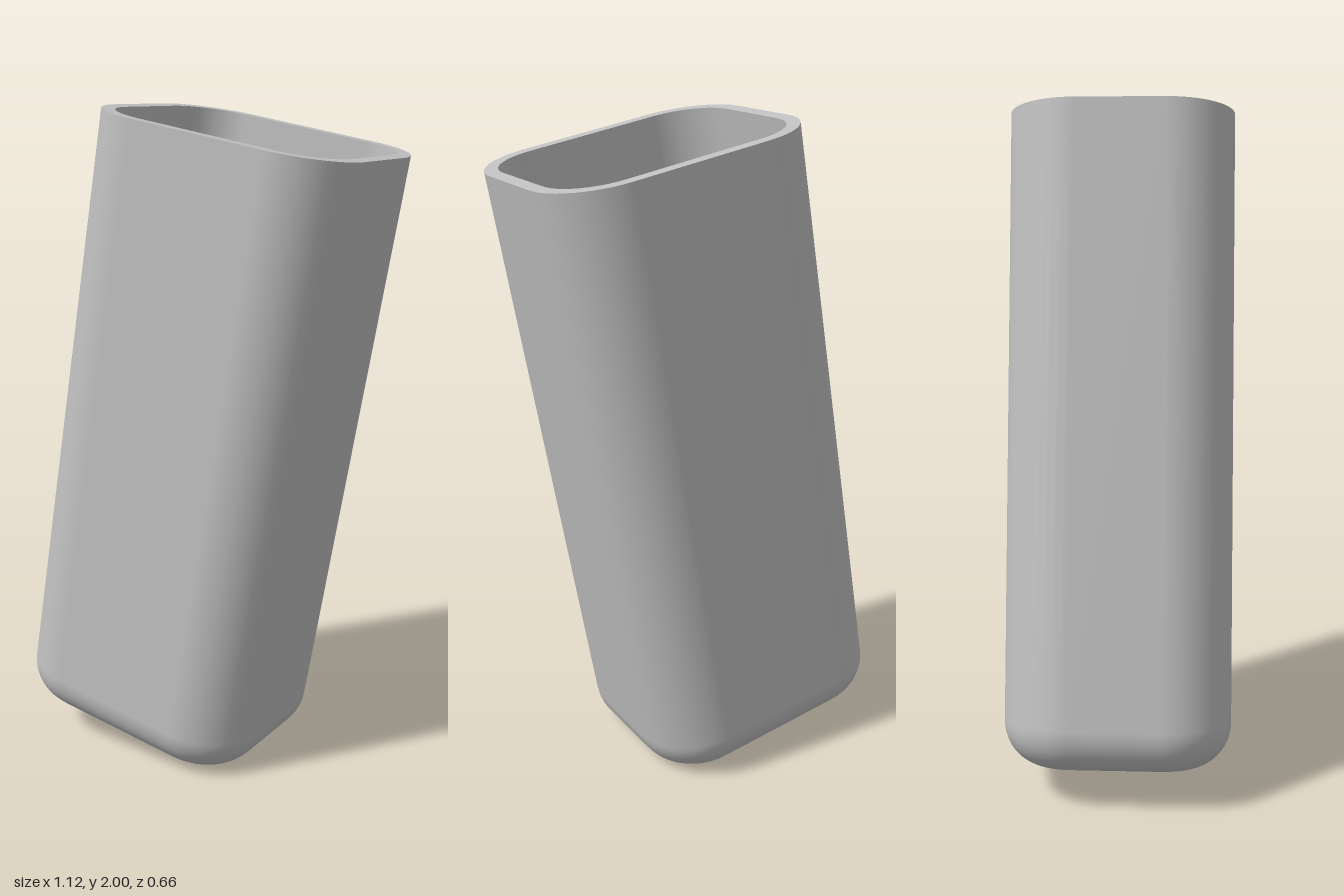
import * as THREE from 'three';

const HEIGHT = 1.907, WALL = 0.04;
const CX = 0.211, CZ = 0.13, CORNER = 0.2; // corner centres and radius in plan
const STEPS = 12;

// Skin swept round the rounded-rectangle plan.
// Each profile point is [inset, y, outward normal, up normal, scale].
function sweep(profile) {
  const pos = [], nor = [], idx = [];
  const n = 4 * (STEPS + 1);
  for (const [inset, y, nr, ny, s = 1] of profile) {
    for (let q = 0; q < 4; q++) {
      const sx = q === 0 || q === 3 ? 1 : -1, sz = q < 2 ? 1 : -1;
      for (let i = 0; i <= STEPS; i++) {
        const a = (q + i / STEPS) * Math.PI / 2, c = Math.cos(a), d = Math.sin(a);
        const r = CORNER - inset;
        pos.push(s * (sx * CX + r * c), y, s * (sz * CZ + r * d));
        nor.push(nr * c, ny, nr * d);
      }
    }
  }
  for (let k = 0; k < profile.length - 1; k++) {
    for (let i = 0; i < n; i++) {
      const a = k * n + i, b = k * n + (i + 1) % n;
      idx.push(a, a + n, b, b, a + n, b + n);
    }
  }
  const g = new THREE.BufferGeometry();
  g.setAttribute('position', new THREE.Float32BufferAttribute(pos, 3));
  g.setAttribute('normal', new THREE.Float32BufferAttribute(nor, 3));
  g.setIndex(idx);
  return g;
}

// Profile from the centre of a floor, round its fillet and up to the rim
function cupProfile(inset, floorY, radius, side) {
  const p = [[inset + radius, floorY, 0, -side, 0]];
  for (let i = 0; i <= STEPS; i++) {
    const t = i / STEPS * Math.PI / 2, s = Math.sin(t), c = Math.cos(t);
    p.push([inset + radius * (1 - s), floorY + radius * (1 - c), side * s, -side * c]);
  }
  p.push([inset, HEIGHT, side, 0]);
  return p;
}

export function createModel() {
  const grey = new THREE.MeshStandardMaterial({ color: 0xc0c0c0 });
  grey.name = 'grey';
  const cup = new THREE.Group();
  cup.name = 'tiltedCup';

  const parts = {
    outerShell: cupProfile(0, 0, 0.13, 1),
    rim: [[0, HEIGHT, 0, 1], [WALL, HEIGHT, 0, 1]],
    innerCavity: cupProfile(WALL, WALL, 0.09, -1).reverse(),
  };
  for (const [name, profile] of Object.entries(parts)) {
    const mesh = new THREE.Mesh(sweep(profile), grey);
    mesh.name = name;
    cup.add(mesh);
  }

  // Lean the cup towards +x, its lowest edge on the ground
  cup.rotation.z = -Math.PI / 18;
  cup.position.set(-0.176, 0.051, 0);

  const model = new THREE.Group();
  model.name = 'model';
  model.add(cup);
  return model;
}
